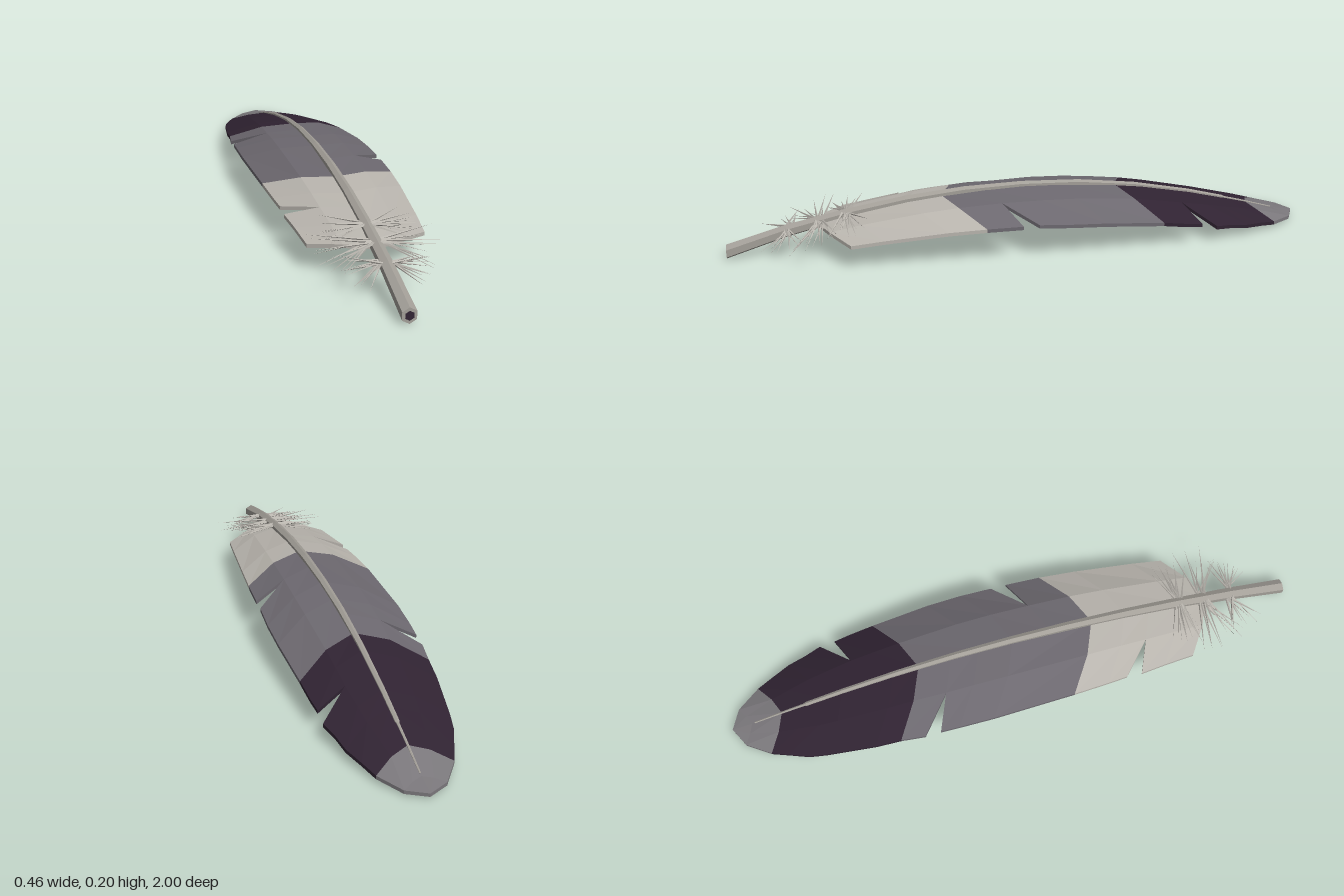
import * as THREE from 'three';

const paint = (name, color) => {
  const m = new THREE.MeshStandardMaterial({ color, flatShading: true });
  m.name = name;
  return m;
};

// Linear lookup in a table of [z, value] pairs, z falling
function lookup(table, z) {
  for (let i = 1; i < table.length; i++) {
    const [z0, a] = table[i - 1], [z1, b] = table[i];
    if (z >= z1 || i === table.length - 1) return a + (b - a) * (z - z0) / (z1 - z0);
  }
}

// Arched spine height, shaft radius and vane half width along the length
const SPINE = [[1, 0.025], [0.8, 0.083], [0.6, 0.127], [0.4, 0.16], [0.2, 0.18], [0, 0.186],
  [-0.2, 0.179], [-0.4, 0.156], [-0.6, 0.117], [-0.8, 0.066], [-0.93, 0.028], [-1, 0.018]];
const RADIUS = [[1, 0.025], [0.6, 0.019], [0, 0.014], [-0.73, 0.008], [-0.74, 0.005], [-0.92, 0.003]];
const WIDTH = [[0.7, 0.185], [0.5, 0.207], [0.28, 0.222], [0, 0.23], [-0.2, 0.226], [-0.33, 0.214],
  [-0.5, 0.202], [-0.67, 0.17], [-0.82, 0.12], [-0.93, 0.065], [-1, 0]];
const ROWS = [0.7, 0.6, 0.4, 0.28, 0, -0.12, -0.33, -0.42, -0.6, -0.67, -0.75, -0.82, -0.93, -1];
const NOTCHES = { 1: [0.135, -0.505], '-1': [0.49, -0.215] };
const THICK = 0.012;
const spineY = z => lookup(SPINE, z);

// Point on the vane: row centre z, column u from 0 (shaft) to 1 (edge), gap shifts the edge
function vanePoint(side, row, u, gap) {
  const w = lookup(WIDTH, row);
  const x = w * u;
  const z = row - 0.55 * w * Math.pow(u, 1.4) + (u === 1 ? gap : 0);
  return [side * x, spineY(z) - 1.15 * x * x, z];
}

// One colour band of the vane, both sides, as a thin slab with slits
function vaneBand(from, to) {
  const pos = [];
  const low = p => [p[0], p[1] - THICK, p[2]];
  for (const side of [1, -1]) {
    const quad = (a, b, c, d) => {
      const q = side > 0 ? [a, b, c, a, c, d] : [a, c, b, a, d, c];
      q.forEach(p => pos.push(...p));
    };
    const wall = (p, q) => quad(low(p), low(q), q, p);
    const slit = r => NOTCHES[side].includes(r);
    const rows = [...ROWS, ...NOTCHES[side]].sort((a, b) => b - a).filter(r => r <= from && r >= to);
    for (let i = 0; i + 1 < rows.length; i++) {
      const [r0, r1] = [rows[i], rows[i + 1]];
      const g0 = slit(r0) ? -0.027 : 0, g1 = slit(r1) ? 0.027 : 0;
      for (const u of [0, 0.5]) {
        const a = vanePoint(side, r0, u, g0), b = vanePoint(side, r0, u + 0.5, g0);
        const c = vanePoint(side, r1, u + 0.5, g1), d = vanePoint(side, r1, u, g1);
        quad(a, b, c, d);
        quad(low(d), low(c), low(b), low(a));
        if (u === 0.5) wall(b, c);
        if (r0 === ROWS[0] || (u === 0.5 && g0)) wall(a, b);
        if (u === 0.5 && g1) wall(c, d);
      }
    }
  }
  const geo = new THREE.BufferGeometry();
  geo.setAttribute('position', new THREE.Float32BufferAttribute(pos, 3));
  geo.computeVertexNormals();
  return geo;
}

// Six-sided tapering shaft bent along the spine
function shaftGeometry() {
  const steps = [1, 0.8, 0.6, 0.4, 0.2, 0, -0.2, -0.4, -0.6, -0.73, -0.74, -0.8, -0.92];
  const n = steps.length - 1;
  const geo = new THREE.CylinderGeometry(1, 1, 1, 6, n).toNonIndexed();
  const p = geo.attributes.position;
  for (let i = 0; i < p.count; i++) {
    const z = steps[Math.round((0.5 - p.getY(i)) * n)];
    const r = lookup(RADIUS, z);
    p.setXYZ(i, p.getX(i) * r, spineY(z) - p.getZ(i) * r, z);
  }
  geo.computeVertexNormals();
  return geo;
}

export function createModel() {
  const light = paint('pale grey', 0xb9b5ae);
  const grey = paint('mid grey', 0x6d6970);
  const dark = paint('dark plum', 0x302332);
  const tip = paint('tip grey', 0x7b787c);
  const quill = paint('quill grey', 0xa39f98);

  const model = new THREE.Group();
  model.name = 'feather';
  const add = (name, geo, mat, parent = model) => {
    const mesh = new THREE.Mesh(geo, mat);
    mesh.name = name;
    parent.add(mesh);
    return mesh;
  };

  // Vane in four colour bands
  add('vaneBase', vaneBand(0.7, 0.28), light);
  add('vaneMiddle', vaneBand(0.28, -0.33), grey);
  add('vaneDarkBand', vaneBand(-0.33, -0.82), dark);
  add('vaneTip', vaneBand(-0.82, -1), tip);

  // Shaft with its hollow end
  add('shaft', shaftGeometry(), quill);
  const hollow = add('shaftHollow', new THREE.CircleGeometry(0.015, 6), dark);
  hollow.rotation.z = Math.PI / 6;
  hollow.position.set(0, 0.025, 1.001);

  // Downy barbs: three tufts of thin spikes fanning out on each side
  let seed = 7;
  const rand = () => (seed = (seed * 16807) % 2147483647) / 2147483647;
  const spike = new THREE.ConeGeometry(0.0045, 1, 4).translate(0, 0.5, 0);
  const up = new THREE.Vector3(0, 1, 0);
  const tufts = [[0.6, 0.16, -25, 25], [0.69, 0.19, -15, 42], [0.79, 0.14, -25, 55]];
  const COUNT = 10;
  for (const [z, length, a0, a1] of tufts) {
    const tuft = new THREE.Group();
    tuft.name = 'downTuft';
    model.add(tuft);
    for (const side of [1, -1]) {
      for (let i = 0; i < COUNT; i++) {
        const angle = THREE.MathUtils.degToRad(a0 + (a1 - a0) * i / (COUNT - 1) + (rand() - 0.5) * 6);
        const dz = Math.sin(angle);
        const dir = new THREE.Vector3(side * Math.cos(angle), -0.1 - 0.25 * dz + (rand() - 0.5) * 0.3, dz);
        const barb = add('downBarb', spike, light, tuft);
        barb.position.set(side * 0.01, spineY(z) + 0.008, z + (rand() - 0.5) * 0.03);
        barb.scale.y = length * (0.75 + 0.3 * rand());
        barb.quaternion.setFromUnitVectors(up, dir.normalize());
      }
    }
  }
  return model;
}
